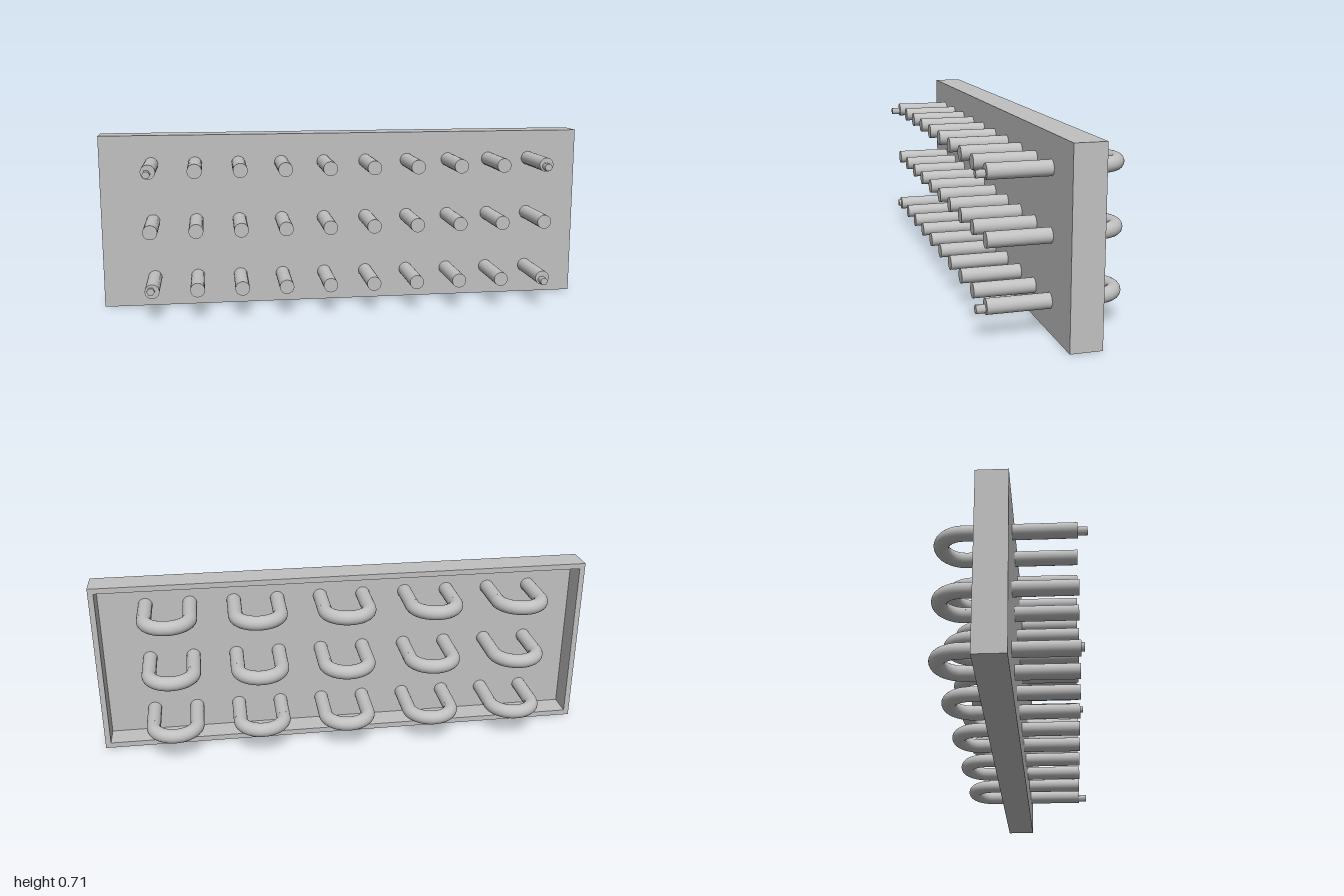
import * as THREE from 'three';

export function createModel() {
  const model = new THREE.Group();
  model.name = 'coilPanel';
  const metal = new THREE.MeshStandardMaterial({ color: 0xc0c0c0 });
  metal.name = 'grey metal';

  const add = (name, geometry, parent, x = 0, y = 0, z = 0) => {
    const mesh = new THREE.Mesh(geometry, metal);
    mesh.name = name;
    mesh.position.set(x, y, z);
    parent.add(mesh);
    return mesh;
  };

  // Whole assembly sits slightly turned about the vertical
  const panel = new THREE.Group();
  panel.name = 'panelAssembly';
  panel.position.z = -0.046;
  panel.rotation.y = 0.0345;
  model.add(panel);

  // Shallow tray, open at the back
  const W = 1.997, H = 0.706, D = 0.117, floor = 0.018, wall = 0.022;
  add('trayPlate', new THREE.BoxGeometry(W, H, floor), panel, 0, H / 2, D / 2 - floor / 2);

  const rectangle = (PathType, w, h) => new PathType([
    new THREE.Vector2(-w / 2, -h / 2), new THREE.Vector2(w / 2, -h / 2),
    new THREE.Vector2(w / 2, h / 2), new THREE.Vector2(-w / 2, h / 2),
  ]);
  const rim = rectangle(THREE.Shape, W, H);
  rim.holes.push(rectangle(THREE.Path, W - 2 * wall, H - 2 * wall));
  add('trayRim', new THREE.ExtrudeGeometry(rim, { depth: D - floor, bevelEnabled: false }),
    panel, 0, H / 2, -D / 2);

  // Hairpin tubes: two straight legs joined by a half-ring behind the tray
  const pitch = 0.176, radius = 0.0285, front = 0.291, bendZ = -0.118;
  const legLength = front - bendZ;
  const legGeometry = new THREE.CylinderGeometry(radius, radius, legLength, 32).rotateX(Math.PI / 2);
  const bendGeometry = new THREE.TorusGeometry(pitch / 2, radius, 24, 32, Math.PI).rotateX(-Math.PI / 2);
  const rows = [0.118, 0.353, 0.588];
  for (const y of rows) {
    for (let i = -2; i <= 2; i++) {
      const hairpin = new THREE.Group();
      hairpin.name = 'hairpinTube';
      hairpin.position.set(i * 2 * pitch, y, 0);
      panel.add(hairpin);
      for (const side of [-1, 1]) {
        add('tubeLeg', legGeometry, hairpin, side * pitch / 2, 0, bendZ + legLength / 2);
      }
      add('tubeBend', bendGeometry, hairpin, 0, 0, bendZ);
    }
  }

  // Small six-sided connectors on the four corner tubes: x, y, protrusion
  const connectors = [
    [-0.797, 0.581, 0.035], [-0.797, 0.12, 0.012],
    [0.789, 0.581, 0.034], [0.789, 0.11, 0.034],
  ];
  for (const [x, y, length] of connectors) {
    const hex = new THREE.CylinderGeometry(0.016, 0.016, length + 0.01, 6).rotateX(Math.PI / 2);
    hex.rotateZ(Math.PI / 6);
    add('hexConnector', hex, panel, x, y, front + (length - 0.01) / 2);
  }

  return model;
}
